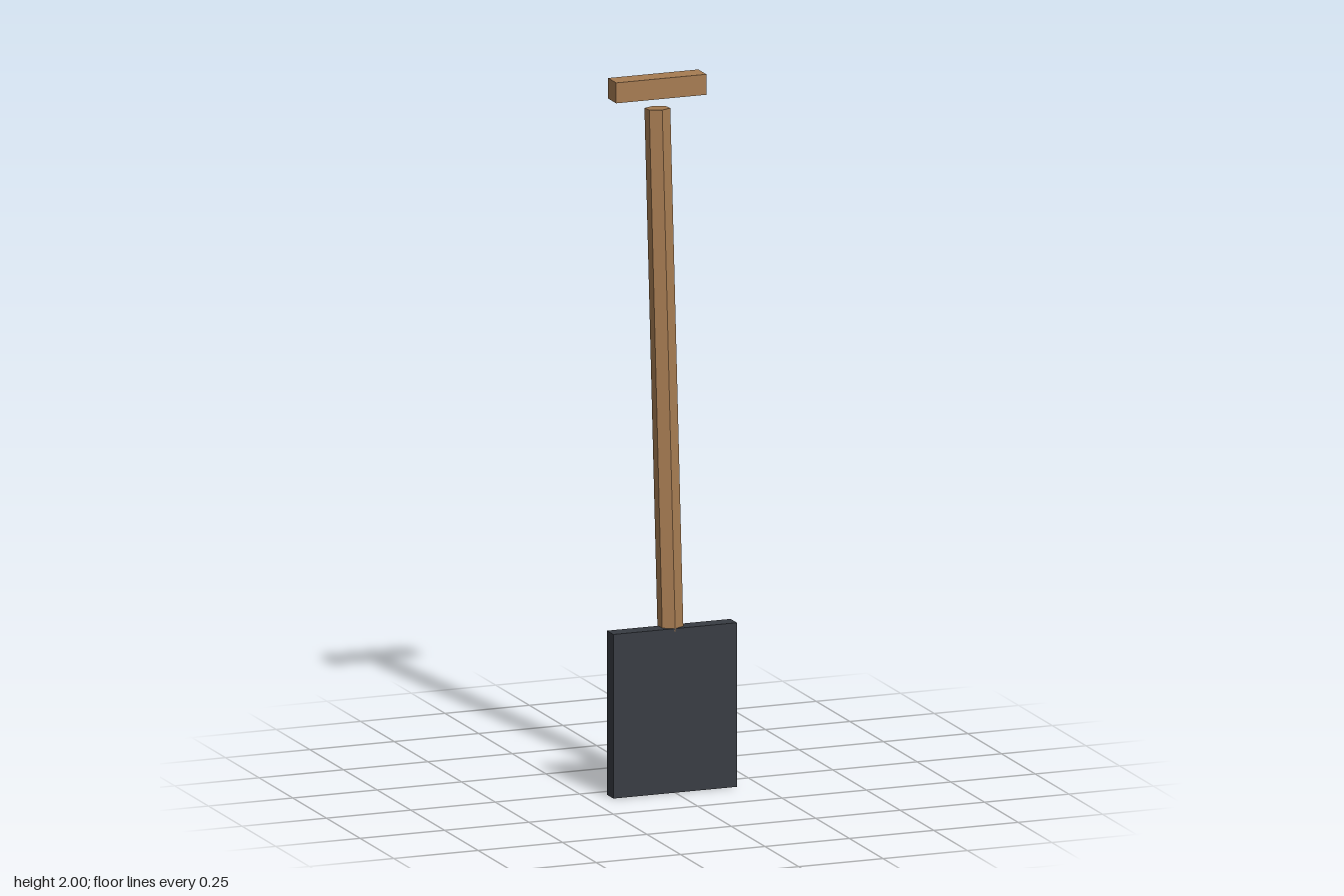
import * as THREE from 'three';

export function createModel() {
  const wood = new THREE.MeshStandardMaterial({ name: 'wood', color: 0xa67c52, flatShading: true });
  const iron = new THREE.MeshStandardMaterial({ name: 'darkIron', color: 0x373b42, flatShading: true });
  const group = new THREE.Group();
  group.name = 'shovel';

  const add = (name, geometry, material, x, y, z) => {
    const mesh = new THREE.Mesh(geometry, material);
    mesh.name = name;
    mesh.position.set(x, y, z);
    group.add(mesh);
    return mesh;
  };

  // Flat upright blade
  add('blade', new THREE.BoxGeometry(0.366, 0.465, 0.047), iron, 0, 0.2325, 0.0595);

  // Six-sided shaft leaning back from the blade
  const bottom = new THREE.Vector3(0, 0.455, 0.048);
  const top = new THREE.Vector3(0, 1.91, -0.049);
  const axis = top.clone().sub(bottom);
  const middle = bottom.clone().lerp(top, 0.5);
  const shaft = add('shaft', new THREE.CylinderGeometry(0.036, 0.036, axis.length(), 6), wood,
    middle.x, middle.y, middle.z);
  shaft.rotation.x = Math.atan2(axis.z, axis.y);

  // Cross grip, set just above the shaft
  add('grip', new THREE.BoxGeometry(0.267, 0.058, 0.06), wood, 0, 1.971, -0.05);

  return group;
}
